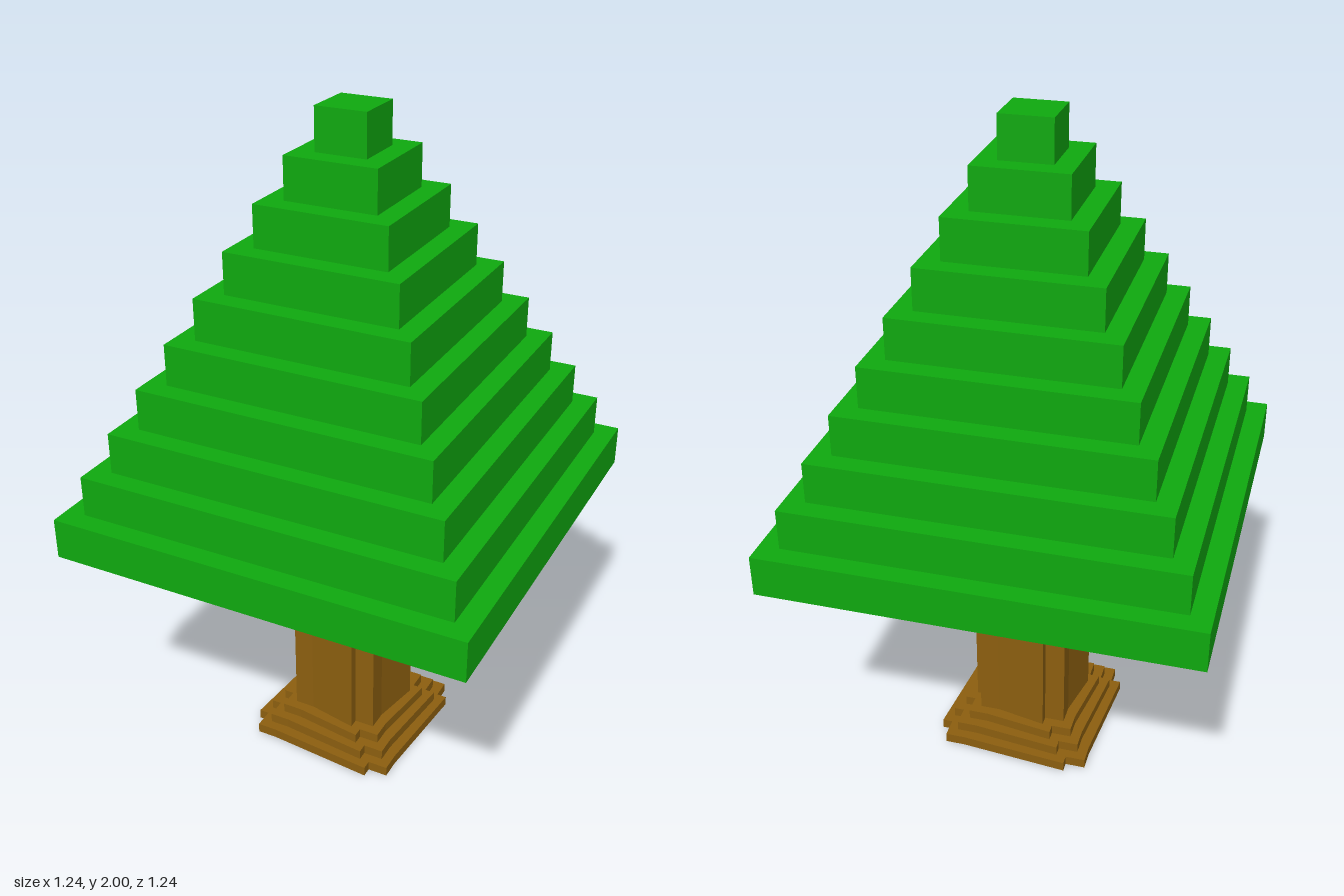
import * as THREE from 'three';

const U = 2 / 66; // one block

export function createModel() {
  const tree = new THREE.Group();
  tree.name = 'tree';
  const leaf = new THREE.MeshStandardMaterial({ color: 0x0fa80f });
  leaf.name = 'leaf green';
  const bark = new THREE.MeshStandardMaterial({ color: 0x8b5e0f });
  bark.name = 'bark brown';

  const add = (name, geometry, material, x, y, z) => {
    const mesh = new THREE.Mesh(geometry, material);
    mesh.name = name;
    mesh.position.set(x * U, y * U, z * U);
    tree.add(mesh);
  };

  // Square slab with stepped corners: arms reach `a` at half-width `c`, the body is a square of half-width `b`
  const steppedSlab = (name, a, b, c, y, h) => {
    const quarter = [[a, -c], [a, c], [b, c], [b, b], [c, b]];
    const points = [];
    for (let i = 0; i < 4; i++) {
      for (const [px, py] of quarter.slice(1)) {
        const [x, z] = [[px, py], [-py, px], [-px, -py], [py, -px]][i];
        points.push(new THREE.Vector2(x * U, z * U));
      }
    }
    const geometry = new THREE.ExtrudeGeometry(new THREE.Shape(points), { depth: h * U, bevelEnabled: false });
    geometry.rotateX(-Math.PI / 2);
    add(name, geometry, bark, 0, y, 0);
  };

  // Flared base, trunk and collar
  for (let i = 0; i < 3; i++) steppedSlab('rootStep', 8.5 - i, 7.5 - i, 5.5 - i, i, 1);
  steppedSlab('trunk', 5.5, 4.5, 2.5, 3, 21);
  steppedSlab('collar', 6.5, 5.5, 3.5, 24, 1);

  // Branch cross with leaf blocks in its corners
  add('branch', new THREE.BoxGeometry(17 * U, U, 5 * U), bark, 0, 25.5, 0);
  for (const s of [-1, 1]) {
    add('branch', new THREE.BoxGeometry(5 * U, U, 6 * U), bark, 0, 25.5, s * 5.5);
    for (const t of [-1, 1]) {
      add('lowerLeaves', new THREE.BoxGeometry(6 * U, U, 6 * U), leaf, s * 5.5, 25.5, t * 5.5);
    }
  }

  // Stepped crown
  for (let i = 0; i < 10; i++) {
    const w = (41 - 4 * i) * U;
    add('crownTier', new THREE.BoxGeometry(w, 4 * U, w), leaf, 0, 28 + 4 * i, 0);
  }
  return tree;
}
